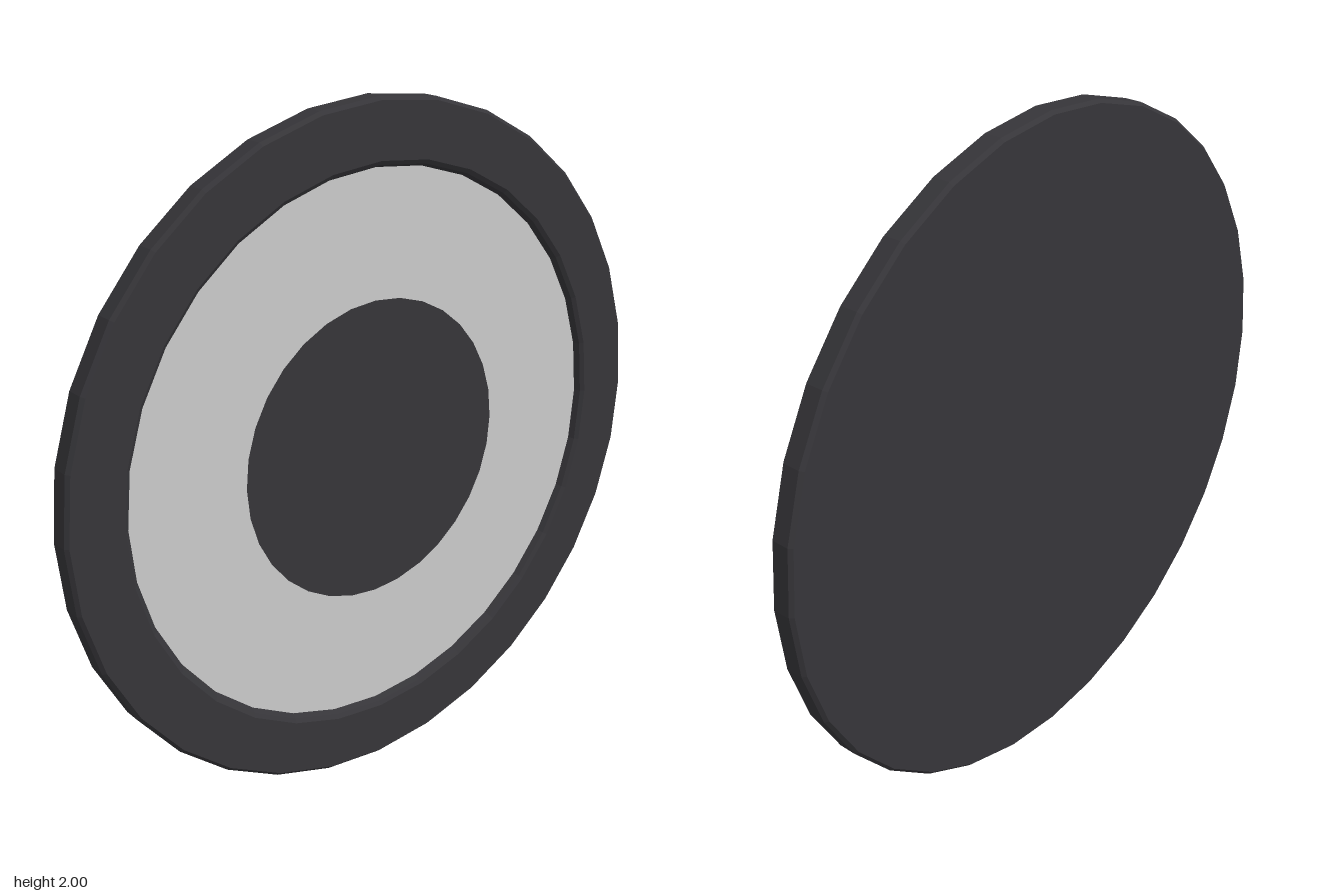
import * as THREE from 'three';

const SEGMENTS = 32;
const DARK = 0x363539;
const GREY = 0xcccccc;

// Faceted ring or shell turned from [radius, height] points
function turned(name, points, color) {
  const profile = points.map(([r, h]) => new THREE.Vector2(r, h));
  const mesh = new THREE.Mesh(
    new THREE.LatheGeometry(profile, SEGMENTS),
    new THREE.MeshStandardMaterial({ color, flatShading: true })
  );
  mesh.name = name;
  return mesh;
}

export function createModel() {
  const half = 0.036;  // half the thickness
  const floor = 0.01;  // height of the recessed face
  const disc = new THREE.Group();
  disc.name = 'disc';

  // Flat back, bevelled outer edge, raised rim and sloping inner wall
  disc.add(turned('rimAndBack', [
    [0, -half], [0.99, -half], [1, -half + 0.01], [1, half - 0.01], [0.99, half],
    [0.832, half], [0.82, half - 0.008], [0.812, floor]
  ], DARK));

  // Recessed face: pale band around a dark centre
  disc.add(turned('paleBand', [[0.812, floor], [0.445, floor]], GREY));
  disc.add(turned('centre', [[0.445, floor], [0, floor]], DARK));

  // Stand the disc upright with its face toward +x
  disc.rotation.z = -Math.PI / 2;
  disc.position.y = 1;

  const model = new THREE.Group();
  model.name = 'roundPanel';
  model.add(disc);
  return model;
}
